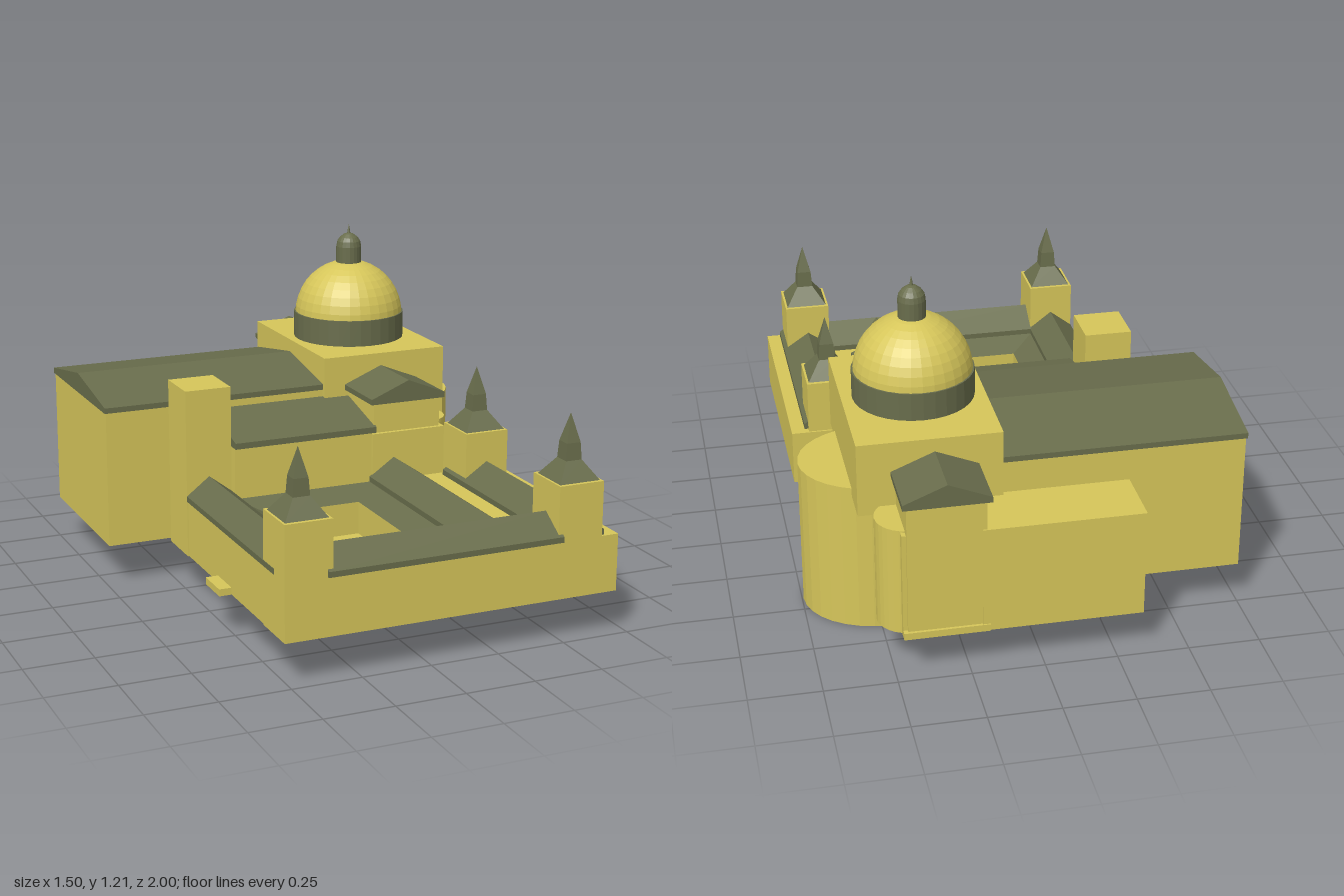
import * as THREE from 'three';

const wall = new THREE.MeshStandardMaterial({ color: 0xd6c65a, flatShading: true, side: THREE.DoubleSide });
const roof = new THREE.MeshStandardMaterial({ color: 0x696d4c, flatShading: true, side: THREE.DoubleSide });

export function createModel() {
  const group = new THREE.Group();

  function add(name, geometry, material, x = 0, y = 0, z = 0) {
    const mesh = new THREE.Mesh(geometry, material);
    mesh.name = name;
    mesh.position.set(x, y, z);
    group.add(mesh);
    return mesh;
  }

  // Box given by its limits
  function block(name, x0, x1, y0, y1, z0, z1, material = wall) {
    return add(name, new THREE.BoxGeometry(x1 - x0, y1 - y0, z1 - z0), material,
      (x0 + x1) / 2, (y0 + y1) / 2, (z0 + z1) / 2);
  }

  // Roof profile across (u, y), extruded along z or, if alongX, along x
  function roofPrism(name, profile, from, to, alongX = false) {
    const shape = new THREE.Shape(profile.map(([u, y]) => new THREE.Vector2(alongX ? -u : u, y)));
    const geo = new THREE.ExtrudeGeometry(shape, { depth: to - from, bevelEnabled: false });
    geo.translate(0, 0, from);
    if (alongX) geo.rotateY(Math.PI / 2);
    return add(name, geo, roof);
  }

  // Gable roof with a thin upright eave
  function gable(name, u0, u1, eave, peak, from, to, alongX = false) {
    const mid = (u0 + u1) / 2, lip = eave + 0.02;
    return roofPrism(name, [[u0, eave], [u1, eave], [u1, lip], [mid, peak], [u0, lip]], from, to, alongX);
  }

  // Flat slab with a rectangular opening; rectangles are [x0, x1, z0, z1]
  function frame(name, outer, inner, y0, y1) {
    const corners = ([x0, x1, z0, z1]) =>
      [[x0, -z1], [x1, -z1], [x1, -z0], [x0, -z0]].map(p => new THREE.Vector2(...p));
    const shape = new THREE.Shape(corners(outer));
    shape.holes.push(new THREE.Path(corners(inner)));
    const geo = new THREE.ExtrudeGeometry(shape, { depth: y1 - y0, bevelEnabled: false });
    geo.rotateX(-Math.PI / 2);
    return add(name, geo, wall, 0, y0, 0);
  }

  // Sloping band between two rectangles at different heights
  function slopedRing(name, outer, inner, yOuter, yInner) {
    const corners = ([x0, x1, z0, z1], y) => [[x0, y, z1], [x1, y, z1], [x1, y, z0], [x0, y, z0]];
    const a = corners(outer, yOuter), b = corners(inner, yInner), pos = [];
    for (let i = 0; i < 4; i++) {
      const j = (i + 1) % 4;
      pos.push(...a[i], ...a[j], ...b[j], ...a[i], ...b[j], ...b[i]);
    }
    const geo = new THREE.BufferGeometry();
    geo.setAttribute('position', new THREE.Float32BufferAttribute(pos, 3));
    geo.computeVertexNormals();
    return add(name, geo, roof);
  }

  const base = 0.155;

  // Cloister block with its sunken courtyard
  const opening = [-0.35, 0.18, 0.13, 0.8], court = [-0.26, 0.09, 0.22, 0.71];
  frame('cloisterWalls', [-0.515, 0.705, 0.13, 0.99], opening, base, 0.36);
  frame('courtyardWalls', opening, court, base, 0.32);
  block('courtyardFloor', court[0], court[1], base, 0.2, court[2], court[3]);
  slopedRing('courtyardRoof', opening, court, 0.36, 0.32);
  block('sidePorch', -0.56, -0.5, base, 0.18, 0.38, 0.51);

  // Cloister wing roofs
  gable('westWingRoof', -0.52, -0.35, 0.36, 0.445, 0.09, 0.9);
  gable('middleWingRoof', 0.175, 0.365, 0.36, 0.445, 0.13, 0.9);
  gable('eastWingRoof', 0.46, 0.655, 0.36, 0.445, 0.16, 0.98);
  gable('frontWingRoof', 0.8, 1.0, 0.36, 0.445, -0.37, 0.49, true);

  // Corner towers with square spires
  for (const [x, z] of [[-0.435, 0.9], [0.557, 0.9], [0.557, 0.227]]) {
    block('cornerTower', x - 0.084, x + 0.084, base, 0.555, z - 0.09, z + 0.09);
    const levels = [[0.076, 0.555], [0.03, 0.62], [0.026, 0.68], [0, 0.78]];
    for (let i = 0; i < 3; i++) {
      const [r0, y0] = levels[i], [r1, y1] = levels[i + 1];
      const geo = new THREE.CylinderGeometry(r1 * Math.SQRT2, r0 * Math.SQRT2, y1 - y0, 4);
      geo.rotateY(Math.PI / 4);
      add('spire', geo, roof, x, (y0 + y1) / 2, z);
    }
  }

  // Nave, aisles and bell tower
  block('nave', -0.745, 0.2, base, 0.66, -0.755, -0.125);
  gable('naveRoof', -0.76, -0.12, 0.655, 0.73, -0.75, 0.12, true);
  block('frontAisle', -0.35, 0.2, base, 0.545, -0.13, 0.125);
  roofPrism('frontAisleRoof', [[-0.12, 0.545], [0.135, 0.545], [0.135, 0.567], [-0.12, 0.63]], -0.35, 0.2, true);
  block('cloisterLink', -0.515, -0.34, base, 0.36, -0.09, 0.14);
  block('backAisle', -0.34, 0.21, base, 0.54, -0.985, -0.75);
  block('bellTower', -0.52, -0.35, base, 0.765, -0.09, 0.09);

  // Transept crossing the church from front to back
  block('transept', 0.195, 0.46, base, 0.66, -0.98, 0.12);
  block('transeptLowerWall', 0.185, 0.475, base, 0.54, -0.97, 0.135);
  block('transeptPlinth', 0.185, 0.475, base, 0.18, -0.99, -0.95);
  gable('transeptRoof', 0.18, 0.475, 0.65, 0.73, -1.0, 0.135);

  // Rounded apses: the large one reaches the lower ground and is open beneath
  function apse(name, x, z, rx, rz, y0, y1, open) {
    const geo = new THREE.CylinderGeometry(1, 1, y1 - y0, 32, 1, open);
    geo.scale(rx, 1, rz);
    add(name, geo, wall, x, (y0 + y1) / 2, z);
    if (open) {
      const top = new THREE.CircleGeometry(1, 32);
      top.rotateX(-Math.PI / 2);
      top.scale(rx, 1, rz);
      add(name + 'Top', top, wall, x, y1, z);
    }
  }
  apse('mainApse', 0.472, -0.43, 0.273, 0.23, 0, 0.545, true);
  for (const z of [-0.03, -0.845]) apse('sideApse', 0.44, z, 0.105, 0.105, base, 0.545, false);

  // Crossing block, drum, dome and lantern
  block('crossing', 0.098, 0.588, 0.515, 0.777, -0.773, -0.105);
  const cx = 0.34, cz = -0.43;
  add('drum', new THREE.CylinderGeometry(0.21, 0.21, 0.1, 32), roof, cx, 0.825, cz);
  add('dome', new THREE.SphereGeometry(0.205, 32, 10, 0, Math.PI * 2, 0, Math.PI / 2), wall, cx, 0.865, cz);
  const lantern = [[0.048, 1.05], [0.048, 1.125], [0.044, 1.145], [0.034, 1.16], [0.018, 1.172],
    [0.006, 1.176], [0.004, 1.19], [0, 1.21]];
  add('lantern', new THREE.LatheGeometry(lantern.map(p => new THREE.Vector2(...p)), 20), roof, cx, 0, cz);

  return group;
}
